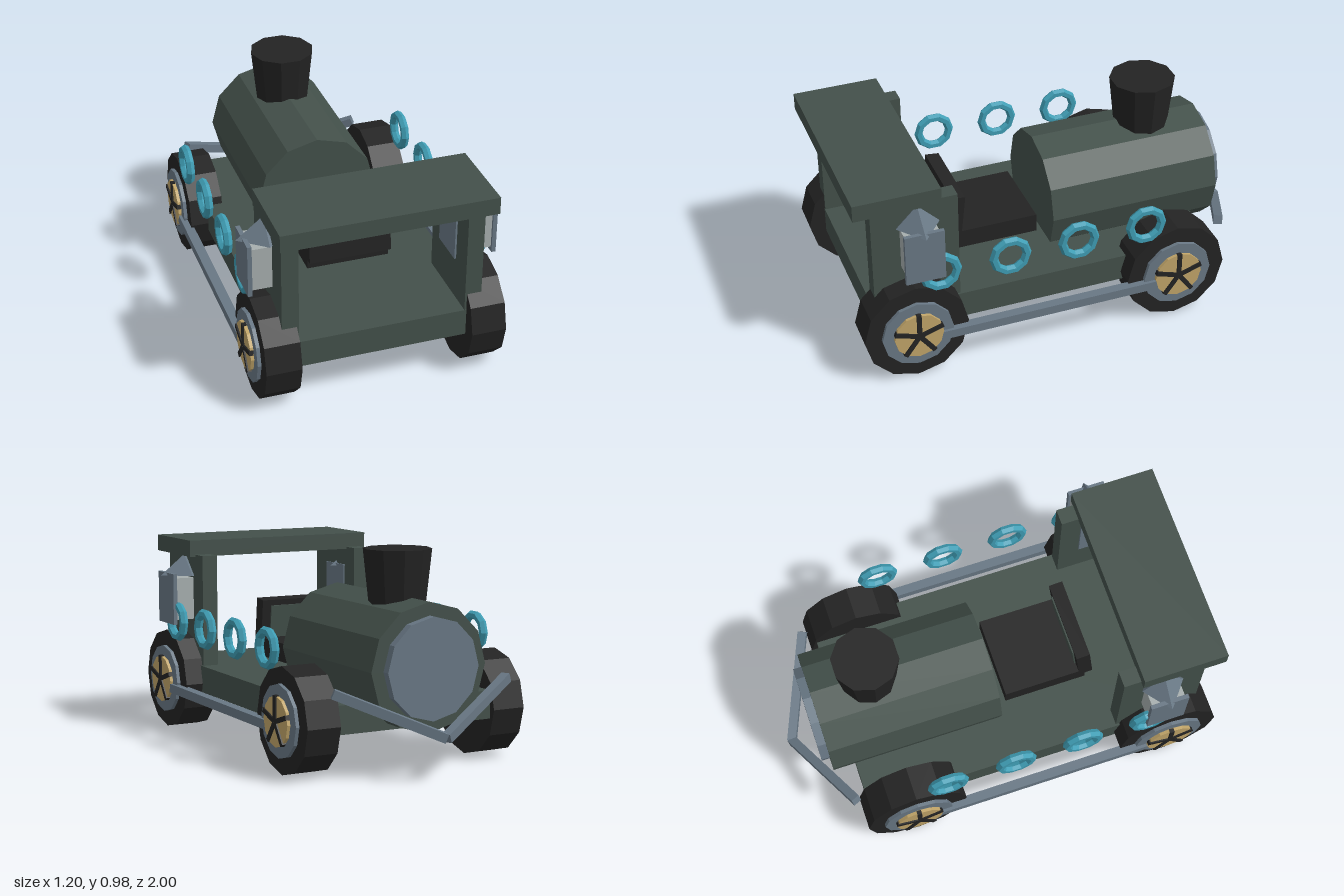
import * as THREE from 'three';

const paint = (name, color) => {
  const m = new THREE.MeshStandardMaterial({ color, flatShading: true });
  m.name = name;
  return m;
};

export function createModel() {
  const green = paint('dark green', 0x43504a);
  const black = paint('black', 0x232323);
  const steel = paint('steel grey', 0x687784);
  const brass = paint('brass', 0xc0a468);
  const teal = paint('teal', 0x3f9db4);
  const glass = paint('pale glass', 0xa6aeae);

  const model = new THREE.Group();
  model.name = 'locomotive';

  const add = (parent, name, geometry, material, x, y, z) => {
    const mesh = new THREE.Mesh(geometry, material);
    mesh.name = name;
    mesh.position.set(x, y, z);
    parent.add(mesh);
    return mesh;
  };
  const box = (parent, name, mat, w, h, d, x, y, z) =>
    add(parent, name, new THREE.BoxGeometry(w, h, d), mat, x, y, z);
  // Disc whose axis runs along x
  const disc = (parent, name, mat, r, width, x) =>
    add(parent, name, new THREE.CylinderGeometry(r, r, width, 12).rotateZ(Math.PI / 2), mat, x, 0, 0);

  // Chassis, cab roof
  box(model, 'chassis', green, 0.94, 0.13, 1.64, 0, 0.265, 0.1);
  box(model, 'cabRoof', green, 0.98, 0.08, 0.4, 0, 0.9, 0.8);

  // Boiler with front cap and flared chimney
  const barrel = (r, len) => new THREE.CylinderGeometry(r, r, len, 12).rotateX(Math.PI / 2);
  add(model, 'boiler', barrel(0.29, 0.83), green, 0, 0.48, -0.415);
  add(model, 'boilerCap', barrel(0.23, 0.05), steel, 0, 0.48, -0.845);
  add(model, 'chimney', new THREE.CylinderGeometry(0.155, 0.125, 0.28, 10).rotateY(Math.PI / 2),
    black, 0, 0.84, -0.555);

  // Seat with a forward-leaning backrest
  box(model, 'seatCushion', black, 0.39, 0.09, 0.4, 0, 0.42, 0.25);
  const back = new THREE.Group();
  back.name = 'backrest';
  back.position.set(0, 0.537, 0.442);
  back.rotation.x = -0.11;
  model.add(back);
  box(back, 'backrestFrame', black, 0.39, 0.235, 0.066, 0, 0, 0);
  box(back, 'backrestPanel', green, 0.3, 0.16, 0.008, 0, 0.01, -0.036);

  for (const s of [1, -1]) {
    // Cab side walls and connecting rods
    box(model, 'cabWall', green, 0.077, 0.54, 0.4, s * 0.423, 0.6, 0.718);
    box(model, 'connectingRod', steel, 0.045, 0.043, 1.07, s * 0.565, 0.21, 0.125);

    // Wheels: tyre, rim, brass disc and five spokes
    for (const z of [0.755, -0.51]) {
      const wheel = new THREE.Group();
      wheel.name = 'wheel';
      wheel.position.set(0, 0.243, z);
      model.add(wheel);
      disc(wheel, 'tyre', black, 0.243, 0.162, s * 0.475);
      disc(wheel, 'rim', steel, 0.167, 0.1, s * 0.523);
      disc(wheel, 'hubDisc', brass, 0.115, 0.1, s * 0.538);
      for (let i = 0; i < 5; i++) {
        const a = (i * Math.PI * 2) / 5;
        const spoke = box(wheel, 'spoke', black, 0.02, 0.115, 0.022,
          s * 0.585, Math.cos(a) * 0.06, Math.sin(a) * 0.06);
        spoke.rotation.x = a;
      }
    }

    // Row of side rings
    for (const z of [0.635, 0.308, -0.02, -0.35]) {
      add(model, 'sideRing', new THREE.TorusGeometry(0.079, 0.021, 6, 10).rotateY(Math.PI / 2),
        teal, s * 0.547, 0.543, z);
    }

    // Lantern: glass between two side plates, under a pointed cap
    const lantern = new THREE.Group();
    lantern.name = 'lantern';
    lantern.position.set(s * 0.475, 0, 0.708);
    model.add(lantern);
    box(lantern, 'lanternGlass', glass, 0.17, 0.205, 0.16, 0, 0.653, 0);
    for (const t of [1, -1])
      box(lantern, 'lanternPlate', steel, 0.02, 0.25, 0.182, t * 0.089, 0.653, 0);
    const cap = add(lantern, 'lanternCap', new THREE.ConeGeometry(0.125, 0.1, 4), steel, 0, 0.815, 0);
    cap.scale.z = 0.8;

    // One arm of the V-shaped front guard
    const tip = new THREE.Vector3(0, 0.195, -0.977);
    const end = new THREE.Vector3(s * 0.445, 0.395, -0.772);
    const mid = tip.clone().lerp(end, 0.5);
    const arm = box(model, 'frontGuardArm', steel, 0.042, 0.042, tip.distanceTo(end), mid.x, mid.y, mid.z);
    arm.lookAt(end);
  }

  return model;
}
